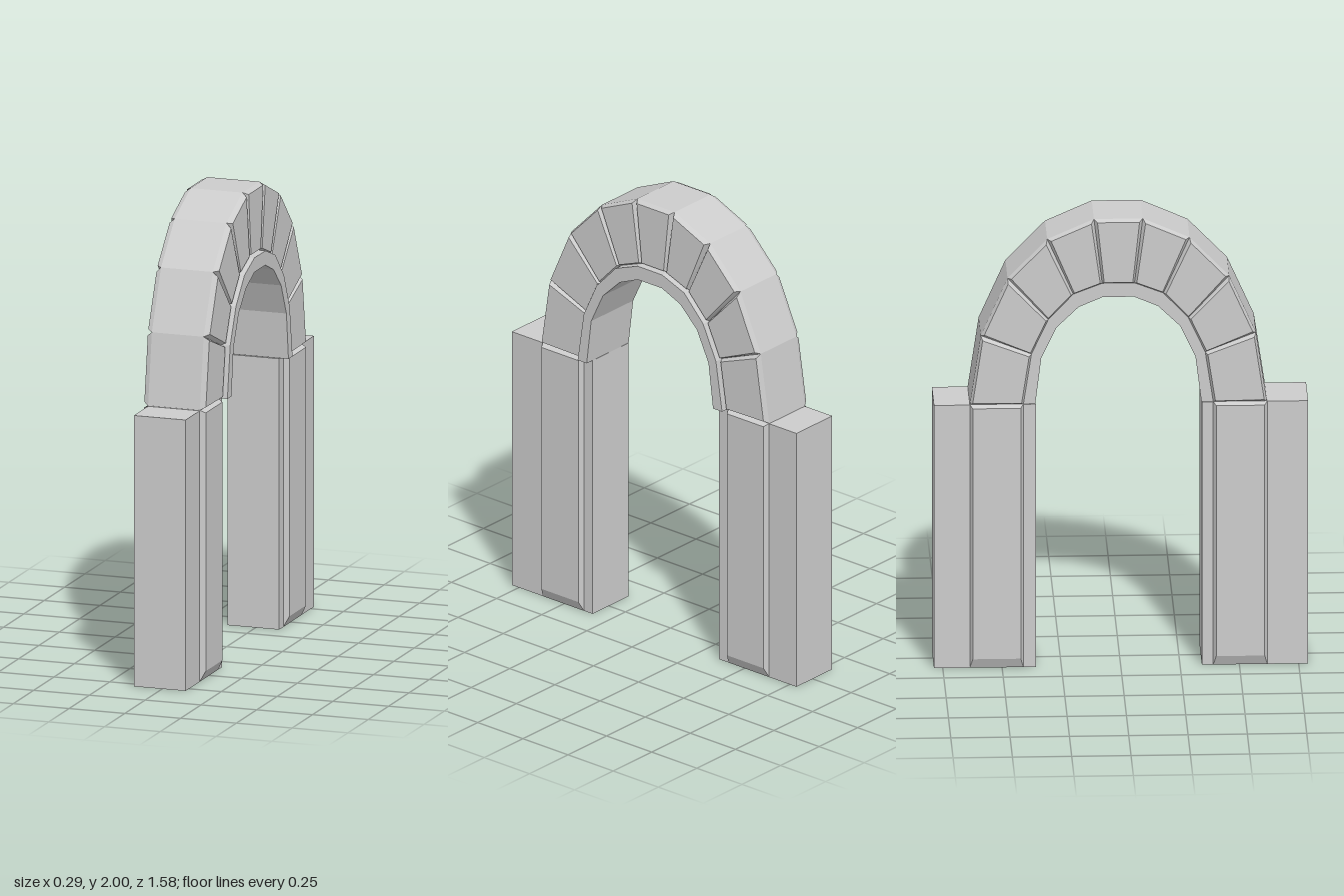
import * as THREE from 'three';
import { ConvexGeometry } from 'three/addons/geometries/ConvexGeometry.js';

const stone = new THREE.MeshStandardMaterial({ color: 0xcccccc, flatShading: true });
const AXIS = -0.01; // z of the arch's middle
const CORE = [-0.127, 0.105]; // x range of the plain stone
const FACE = [-0.148, 0.128]; // x range of the raised faces

// Half profiles [distance from the arch axis, y], from springing to crown
const OUTER = [[0.626, 1.177], [0.58, 1.485], [0.467, 1.74], [0.3, 1.913], [0.103, 2]];
const INNER = [[0.4, 1.177], [0.366, 1.4], [0.295, 1.553], [0.19, 1.665], [0.068, 1.712]];
const SOFFIT = [[0.35, 1.177], [0.325, 1.38], [0.26, 1.517], [0.167, 1.607], [0.066, 1.65]];

// Mirror a half profile into a full curve of [z, y] points
const mirrored = (half) => [
  ...half.map(([d, y]) => [AXIS + d, y]),
  ...half.slice().reverse().map(([d, y]) => [AXIS - d, y]),
];

function addMesh(parent, name, geometry) {
  const mesh = new THREE.Mesh(geometry, stone);
  mesh.name = name;
  parent.add(mesh);
  return mesh;
}

// Block across x on a [z, y] quad (a-b top, d-c bottom), with chamfered side faces
function bevelledBlock([a, b, c, d], side, top, bottom) {
  const V = (p) => new THREE.Vector2(p[0], p[1]);
  const [A, B, C, D] = [a, b, c, d].map(V);
  const at = (u, v) => A.clone().lerp(B, u).lerp(D.clone().lerp(C, u), v);
  const width = (A.distanceTo(B) + D.distanceTo(C)) / 2;
  const height = (A.distanceTo(D) + B.distanceTo(C)) / 2;
  const u = side / width, v0 = top / height, v1 = 1 - bottom / height;
  const inset = [at(u, v0), at(1 - u, v0), at(1 - u, v1), at(u, v1)];
  const points = [];
  for (const s of [0, 1]) {
    for (const p of [A, B, C, D]) points.push(new THREE.Vector3(CORE[s], p.y, p.x));
    for (const p of inset) points.push(new THREE.Vector3(FACE[s], p.y, p.x));
  }
  return new ConvexGeometry(points);
}

export function createModel() {
  const model = new THREE.Group();
  model.name = 'stoneArch';

  // Two piers, each a plain block with a raised panel
  const piers = [
    { name: 'frontPier', block: [0.342, 0.79], panel: [0.39, 0.618] },
    { name: 'backPier', block: [-0.787, -0.358], panel: [-0.636, -0.41] },
  ];
  for (const { name, block, panel } of piers) {
    const pier = new THREE.Group();
    pier.name = name;
    const body = addMesh(pier, 'pierBlock',
      new THREE.BoxGeometry(CORE[1] - CORE[0], 1.175, block[1] - block[0]));
    body.position.set((CORE[0] + CORE[1]) / 2, 0.5875, (block[0] + block[1]) / 2);
    const [z0, z1] = panel;
    addMesh(pier, 'pierPanel',
      bevelledBlock([[z0, 1.177], [z1, 1.177], [z1, 0], [z0, 0]], 0.012, 0.012, 0.045));
    model.add(pier);
  }

  // Ring of wedge stones
  const ring = new THREE.Group();
  ring.name = 'archStones';
  const outer = mirrored(OUTER), inner = mirrored(INNER);
  for (let i = 0; i < outer.length - 1; i++) {
    addMesh(ring, 'wedgeStone',
      bevelledBlock([outer[i], outer[i + 1], inner[i + 1], inner[i]], 0.011, 0.01, 0.01));
  }
  model.add(ring);

  // Lining under the ring, standing proud on the left side
  const outline = [...inner, ...mirrored(SOFFIT).reverse()];
  const shape = new THREE.Shape(outline.map(([z, y]) => new THREE.Vector2(z, y)));
  const lining = new THREE.ExtrudeGeometry(shape, { depth: 0.272, bevelEnabled: false });
  lining.rotateY(-Math.PI / 2).translate(0.146, 0, 0);
  addMesh(model, 'archLining', lining);

  return model;
}
